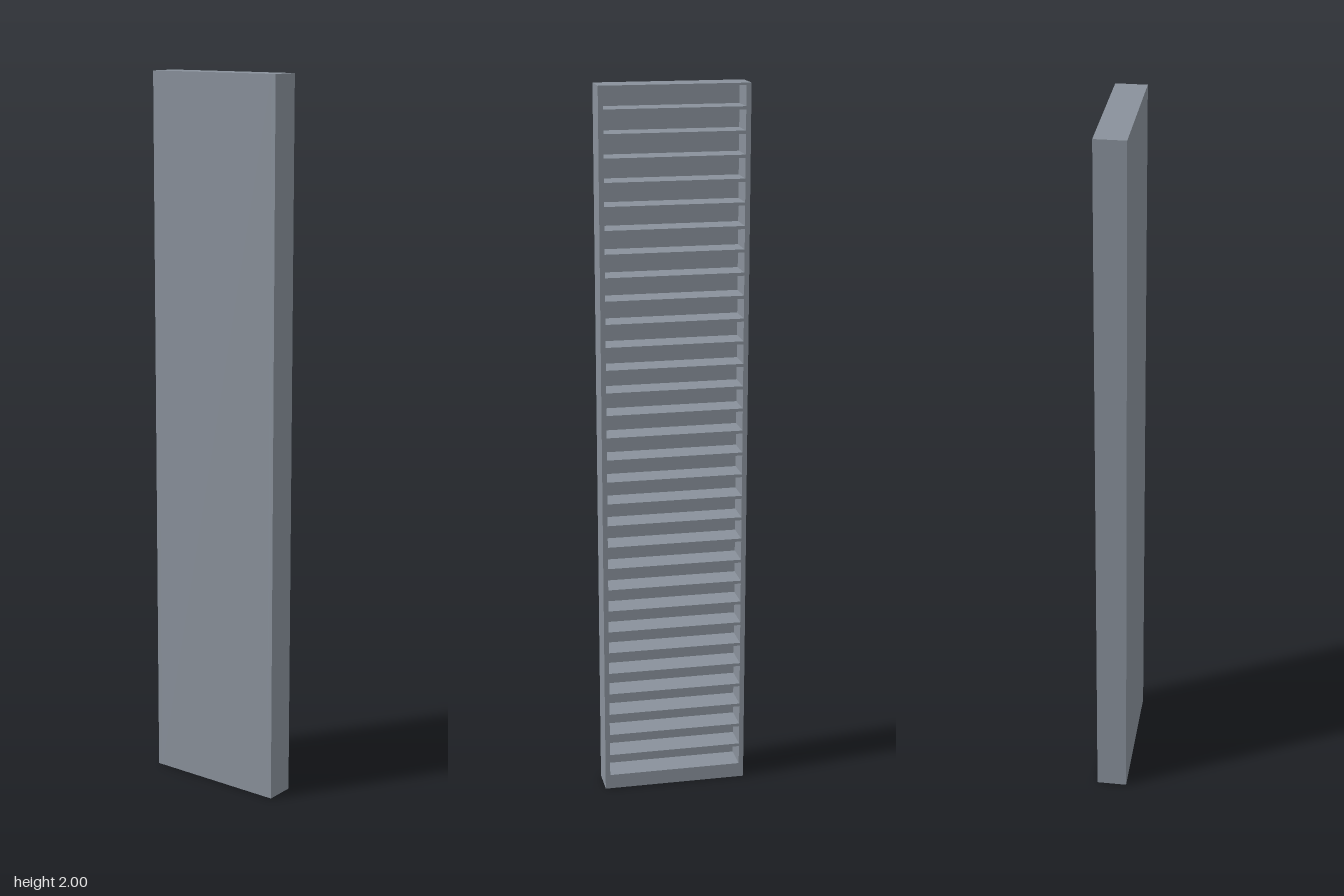
import * as THREE from 'three';

export function createModel() {
  const model = new THREE.Group();
  model.name = 'shelfRack';

  const slateGrey = new THREE.MeshStandardMaterial({ color: 0x89919b });
  slateGrey.name = 'slateGrey';

  const W = 0.085, H = 2, D = 0.407;          // overall size in x, y, z
  const side = 0.0135, back = 0.008, shelf = 0.0085;
  const plinth = 0.042, lid = 0.006, cells = 31;
  const innerW = W - back, innerD = D - 2 * side;

  function box(name, sx, sy, sz, x, y, z, parent = model) {
    const mesh = new THREE.Mesh(new THREE.BoxGeometry(sx, sy, sz), slateGrey);
    mesh.name = name;
    mesh.position.set(x, y, z);
    parent.add(mesh);
  }

  // Side walls at front and rear, closed back on the -x side
  box('frontWall', W, H, side, 0, H / 2, (D - side) / 2);
  box('rearWall', W, H, side, 0, H / 2, -(D - side) / 2);
  box('backPanel', back, H, innerD, -(W - back) / 2, H / 2, 0);

  // Solid base and thin lid
  box('plinth', innerW, plinth, innerD, back / 2, plinth / 2, 0);
  box('lid', innerW, lid, innerD, back / 2, H - lid / 2, 0);

  // Evenly spaced shelves, open towards +x
  const shelves = new THREE.Group();
  shelves.name = 'shelves';
  model.add(shelves);
  const pitch = (H - lid - plinth + shelf) / cells;
  for (let i = 1; i < cells; i++) {
    box('shelf', innerW, shelf, innerD, back / 2, plinth + i * pitch - shelf / 2, 0, shelves);
  }

  return model;
}
